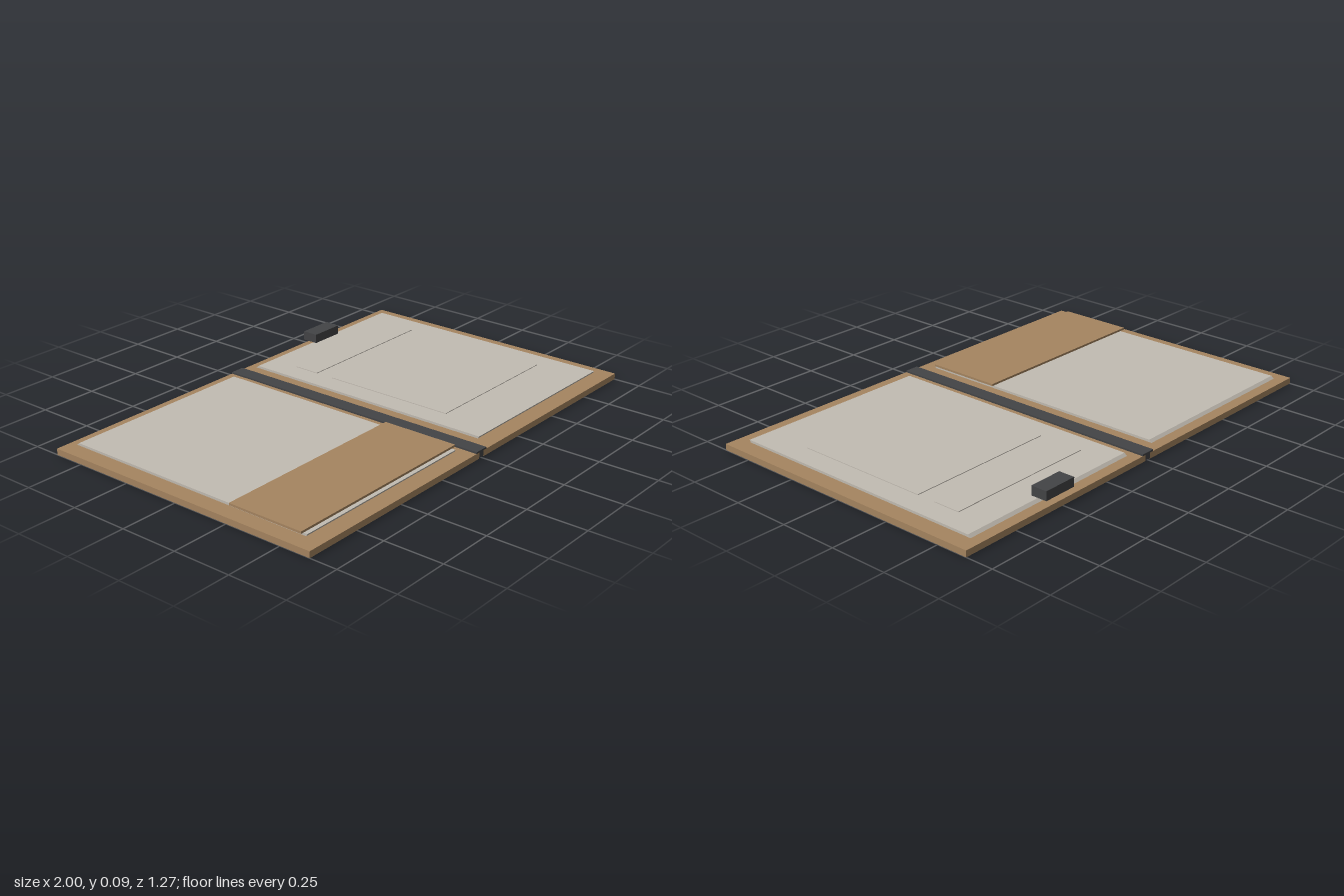
import * as THREE from 'three';

const material = (name, color) => {
  const m = new THREE.MeshStandardMaterial({ color });
  m.name = name;
  return m;
};

export function createModel() {
  const folder = new THREE.Group();
  folder.name = 'openFolder';

  const leather = material('tan leather', 0xa68560);
  const paper = material('pale paper', 0xc2bcb2);
  const dark = material('charcoal', 0x434446);

  // Box given by its limits on each axis
  function slab(name, mat, [x0, x1], [y0, y1], [z0, z1]) {
    const mesh = new THREE.Mesh(new THREE.BoxGeometry(x1 - x0, y1 - y0, z1 - z0), mat);
    mesh.position.set((x0 + x1) / 2, (y0 + y1) / 2, (z0 + z1) / 2);
    mesh.name = name;
    folder.add(mesh);
    return mesh;
  }

  // Sheet stack with slightly slanted front and back edges
  function pageStack(name, x0, x1) {
    const y0 = 0.031, y1 = 0.041;
    const mesh = slab(name, paper, [x0, x1], [y0, y1], [-0.592, 0.568]);
    const p = mesh.geometry.attributes.position;
    for (let i = 0; i < p.count; i++) {
      const top = p.getY(i) > 0, back = p.getZ(i) < 0;
      if (top && back) p.setZ(i, p.getZ(i) + 0.012);
      if (!top && !back) p.setZ(i, p.getZ(i) - 0.006);
    }
    mesh.geometry.computeVertexNormals();
  }

  // Covers and pages, mirrored about the spine
  slab('rightCover', leather, [-1, -0.014], [0, 0.026], [-0.633, 0.633]);
  slab('leftCover', leather, [0.014, 1], [0, 0.026], [-0.633, 0.633]);
  pageStack('rightPages', -0.935, -0.077);
  pageStack('leftPages', 0.077, 0.935);

  // Spine: rib between the covers and a wider cap on top
  slab('spineRib', dark, [-0.014, 0.014], [0.003, 0.026], [-0.633, 0.633]);
  slab('spineCap', dark, [-0.032, 0.032], [0.026, 0.033], [-0.633, 0.633]);

  // Pocket over the lower part of the right page
  slab('pocket', leather, [-0.953, -0.064], [0.045, 0.054], [0.222, 0.555]);

  // Raised panels on the left page
  slab('titlePanel', paper, [0.17, 0.84], [0.041, 0.044], [-0.445, -0.33]);
  slab('mainPanel', paper, [0.17, 0.84], [0.041, 0.044], [-0.247, 0.343]);

  // Clip at the top edge
  slab('clip', dark, [0.43, 0.583], [0.046, 0.085], [-0.626, -0.556]);

  return folder;
}
